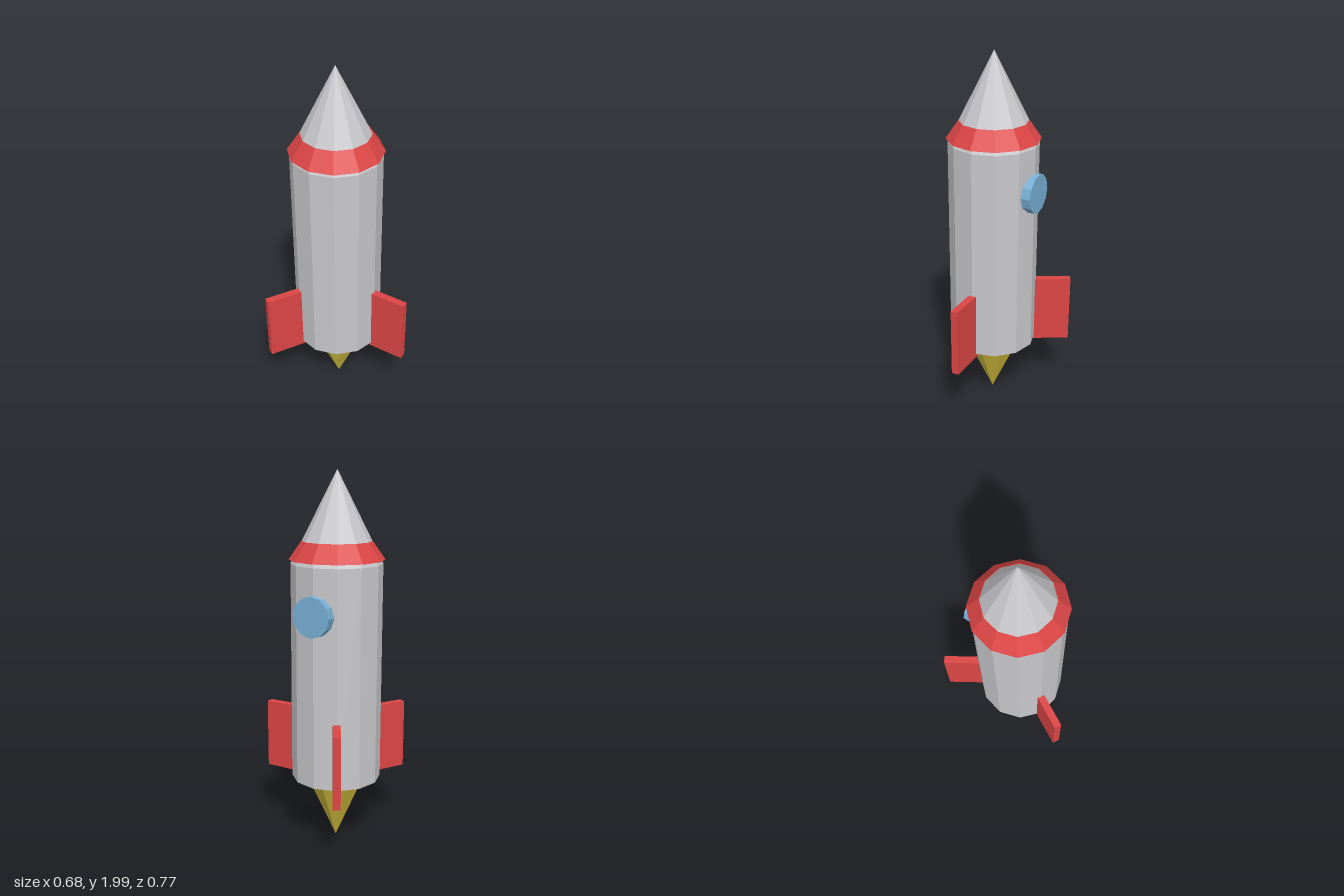
import * as THREE from 'three';

const AXIS_X = -0.092; // the hull axis sits left of centre because of the fin layout

export function createModel() {
  const model = new THREE.Group();
  model.name = 'rocket';
  const rocket = new THREE.Group();
  rocket.name = 'rocketParts';
  rocket.position.x = AXIS_X;
  model.add(rocket);

  const paint = (name, color) => {
    const m = new THREE.MeshStandardMaterial({ color, flatShading: true });
    m.name = name;
    return m;
  };
  const grey = paint('hullGrey', 0xc8c8cc);
  const red = paint('trimRed', 0xdc4545);
  const blue = paint('windowBlue', 0x78b0d6);
  const yellow = paint('flameYellow', 0xd0bc3c);

  const add = (name, geometry, material, parent = rocket) => {
    const mesh = new THREE.Mesh(geometry, material);
    mesh.name = name;
    parent.add(mesh);
    return mesh;
  };
  // Upright faceted cylinder or cone between two heights
  const turned = (name, y0, y1, r0, r1, sides, material) => {
    const mesh = add(name, new THREE.CylinderGeometry(r1, r0, y1 - y0, sides), material);
    mesh.position.y = (y0 + y1) / 2;
    return mesh;
  };

  // Hull, nose and collar
  turned('body', 0.365, 1.525, 0.24, 0.24, 12, grey);
  turned('noseCone', 1.525, 2, 0.24, 0, 12, grey);
  turned('collar', 1.545, 1.64, 0.25, 0.184, 12, red);

  // Exhaust flame, point down
  turned('flame', 0.01, 0.343, 0, 0.15, 8, yellow);

  // Round window on the back
  const porthole = add('porthole', new THREE.CylinderGeometry(0.106, 0.106, 0.075, 12), blue);
  porthole.rotation.x = Math.PI / 2;
  porthole.position.set(0, 1.282, -0.2275);

  // Three fins spaced evenly round the hull
  for (let i = 0; i < 3; i++) {
    const fin = new THREE.Group();
    fin.name = 'fin' + (i + 1);
    fin.rotation.y = (i * Math.PI * 2) / 3;
    add('finPlate', new THREE.BoxGeometry(0.285, 0.38, 0.04), red, fin).position.set(0.29, 0.535, 0);
    rocket.add(fin);
  }

  return model;
}
